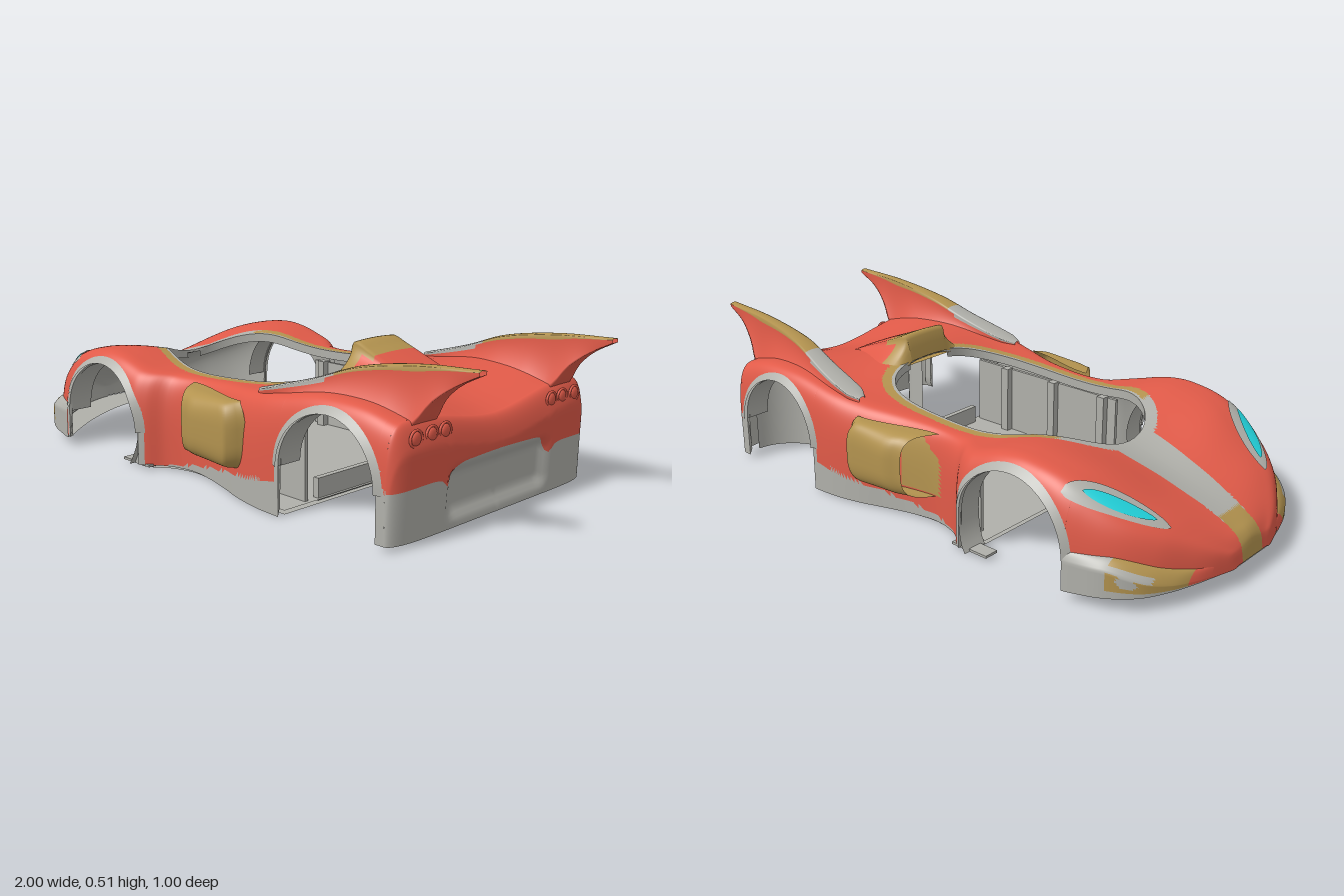
import * as THREE from 'three';

const paint = (name, color) => Object.assign(new THREE.MeshStandardMaterial({ color, side: THREE.DoubleSide }), { name });
// Smooth interpolation through a short list of [x, value] points
const curve = (pts) => (x) => {
  const n = pts.length - 1;
  if (x <= pts[0][0]) return pts[0][1];
  if (x >= pts[n][0]) return pts[n][1];
  const i = pts.findIndex((p) => x <= p[0]) - 1;
  const slope = (k) => {
    const a = pts[Math.max(k - 1, 0)], b = pts[Math.min(k + 1, n)];
    return (b[1] - a[1]) / (b[0] - a[0]);
  };
  const [x0, y0] = pts[i], [x1, y1] = pts[i + 1], h = x1 - x0, t = (x - x0) / h;
  return y0 * (1 + 2 * t) * (1 - t) ** 2 + y1 * t * t * (3 - 2 * t) + h * (slope(i) * t * (1 - t) ** 2 - slope(i + 1) * t * t * (1 - t));
};
const smooth = (t) => { t = Math.min(1, Math.max(0, t)); return t * t * (3 - 2 * t); };
const steps = (a, b, n) => Array.from({ length: n + 1 }, (_, i) => a + (b - a) * i / n);

// Body curves along the length (nose at -x)
const width = curve([[-1, .1], [-.97, .19], [-.93, .265], [-.88, .34], [-.8, .415], [-.7, .463], [-.62, .48], [-.3, .483],
  [-.25, .46], [-.2, .415], [-.1, .385], [0, .395], [.1, .42], [.2, .45], [.3, .468], [.4, .472], [.6, .472], [.8, .463]]);
const bumperWidth = curve([[-.98, .165], [-.96, .235], [-.93, .315], [-.88, .395], [-.8, .45], [-.7, .477], [-.66, .482]]);
const centreTop = curve([[-1, .07], [-.99, .13], [-.95, .165], [-.8, .23], [-.6, .29], [-.5, .315], [-.3, .335],
  [0, .34], [.2, .355], [.33, .39], [.4, .39], [.55, .37], [.7, .335], [.8, .31]]);
const fenderTop = curve([[-1, .07], [-.99, .115], [-.9, .2], [-.8, .262], [-.65, .342], [-.5, .372], [-.4, .365],
  [-.27, .33], [-.15, .32], [0, .325], [.2, .34], [.35, .36], [.5, .384], [.6, .388], [.7, .38], [.8, .355]]);
const arches = [{ x: -.47, y: .13, r: .2 }, { x: .585, y: .16, r: .185 }];
const base = (x) => x < -.5 ? .065 - .09 * (x + 1) : x < .5 ? .02 - .02 * (x + .27) : .02;
const bottom = (x) => {
  const a = arches.find((k) => Math.abs(x - k.x) < k.r);
  return a ? a.y + Math.sqrt(a.r ** 2 - (x - a.x) ** 2) : base(x);
};
// Half width of the cockpit opening, grown by g
const opening = (x, g = 0) => {
  const n = x < -.1 ? 2.3 : 3.5, u = Math.abs(x + .1) / ((x < -.1 ? .45 : .42) + g);
  return u >= 1 ? 0 : (.28 + g) * (1 - u ** n) ** (1 / n);
};
const peak = (x) => Math.max((.66 + .09 * smooth((x + .75) / .2)) * width(x), opening(x) + .03);
const round = (x) => .5 - .1 * smooth((x - .2) / .2);
// Height of the body surface in plan, and its half width at a height
const heightAt = (x, z) => {
  const zp = peak(x), yC = centreTop(x), yF = fenderTop(x), p = round(x);
  if (z < zp) return yC + (yF - yC) * smooth(z / zp);
  return yF * Math.max(0, 1 - ((z - zp) / (width(x) - zp)) ** (2 / p)) ** (p / 2);
};
const sideAt = (x, y) => {
  const p = round(x);
  return peak(x) + (width(x) - peak(x)) * Math.max(0, 1 - (y / fenderTop(x)) ** (2 / p)) ** (p / 2);
};
// Cross-section: from centre (or cockpit edge) over the fender, down to the sill
const section = (x, v) => {
  const z0 = opening(x), zp = peak(x), yF = fenderTop(x), p = round(x);
  if (v < .45) {
    const z = z0 + (zp - z0) * v / .45;
    return [x, heightAt(x, z), z];
  }
  const t = smooth((v - .45) / .55) * Math.acos(Math.min(1, bottom(x) / yF) ** (1 / p));
  return [x, yF * Math.cos(t) ** p, zp + (width(x) - zp) * Math.sin(t) ** p];
};

const RED = 0, GREY = 1, GOLD = 2, CYAN = 3;
const bodyColour = (x, y, z) => {
  if (x < -.91 && z < .055) return GOLD;
  if (x < -.5 && z < .06 + .1 * (x + .9)) return GREY;
  if (z < opening(x, .01)) return GREY;
  if (z < opening(x, .038)) return x > -.45 ? GOLD : GREY;
  // arch trims, rear bumper and sills
  for (const k of arches) {
    const d = y > k.y ? Math.hypot(x - k.x, y - k.y) : Math.abs(x - k.x);
    if (z > .4 && d < k.r + .02) return GREY;
  }
  if (x > .7 && y < .175) return GREY;
  if (x > -.27 && x < .42 && y < .02 + .16 * (x + .2)) return GREY;
  if (x > -.11 && x < .05 && y > .11 && y < .29 - .8 * Math.max(0, -.02 - x) && z > .34) return GOLD;
  return RED;
};

// Sheet over rows us and nv columns; colours are chosen face by face
function sheet(name, mats, us, nv, side, fn, colour) {
  const pos = [], groups = [[], [], [], []], w = nv + 1;
  for (const u of us) for (let j = 0; j <= nv; j++) {
    const p = fn(u, j / nv);
    pos.push(p[0], p[1], p[2] * side);
  }
  for (let i = 0; i < us.length - 1; i++) for (let j = 0; j < nv; j++) {
    const a = i * w + j, b = a + 1, c = a + w, d = c + 1;
    for (const t of [[a, b, c], [b, d, c]]) {
      const mid = (k) => t.reduce((s, q) => s + pos[q * 3 + k], 0) / 3;
      const g = typeof colour === 'number' ? colour : colour(mid(0), mid(1), mid(2) * side, (j + .5) / nv);
      groups[g].push(...(side > 0 ? t : [t[0], t[2], t[1]]));
    }
  }
  const geo = new THREE.BufferGeometry();
  geo.setAttribute('position', new THREE.Float32BufferAttribute(pos, 3));
  geo.setIndex(groups.flat());
  let start = 0;
  groups.forEach((g, i) => { if (g.length) geo.addGroup(start, g.length, i); start += g.length; });
  geo.computeVertexNormals();
  return Object.assign(new THREE.Mesh(geo, mats), { name });
}
// Grey lining just inside a painted sheet, meeting it at the open edges
function lining(outer, nv, mat) {
  const geo = outer.geometry.clone(), p = geo.attributes.position, n = geo.attributes.normal;
  for (let i = 0; i < p.count; i++) {
    const j = i % (nv + 1), x = p.getX(i), d = j === nv || (j === 0 && opening(x) > 0) ? 0 : .01;
    p.setXYZ(i, x - n.getX(i) * d, p.getY(i) - n.getY(i) * d, p.getZ(i) - n.getZ(i) * d);
  }
  geo.clearGroups();
  geo.setIndex(Array.from(geo.index.array).reverse());
  geo.computeVertexNormals();
  return Object.assign(new THREE.Mesh(geo, mat), { name: 'bodyLining' });
}
// Ridge with a flat top and flared sides, used by the fins and the rear scoop
const ridge = (r) => (x, v) => {
  const s = 2 * v - 1, a = Math.abs(s), sg = Math.sign(s), yT = r.top(x), yB = r.low(x), wT = r.wTop(x), wB = r.wLow(x);
  if (a <= .3) return [x, yT - .004 * (a / .3) ** 2, r.z(x) + wT * s / .3];
  if (a > .9) return [x, yB, r.z(x) + sg * wB * (1 - a) / .1];
  const t = (a - .3) / .6;
  return [x, yT - .004 + (yB - yT + .004) * t, r.z(x) + sg * (wT + (wB - wT) * t * t)];
};

export function createModel() {
  const model = Object.assign(new THREE.Group(), { name: 'carBody' });
  const red = paint('red paint', 0xe05a48), grey = paint('grey trim', 0xb0b0aa);
  const mats = [red, grey, paint('gold trim', 0xb3934f), paint('cyan lamp', 0x22d3dc)];
  const add = (name, geo, mat, x, y, z) => {
    const m = Object.assign(new THREE.Mesh(geo, mat), { name });
    m.position.set(x, y, z);
    model.add(m);
  };
  const box = (name, w, h, d, x, y, z) => add(name, new THREE.BoxGeometry(w, h, d), grey, x, y, z);
  // Stations cluster at the nose, the arch edges and the cockpit ends
  const breaks = [-1, -.67, -.55, -.27, .32, .4, .77, .8];
  const stations = [50, 14, 28, 44, 10, 36, 4].flatMap((n, i) => steps(0, 1, n).map((t) =>
    breaks[i] + 1e-5 + (breaks[i + 1] - breaks[i] - 2e-5) * (1 - Math.cos(Math.PI * t)) / 2));
  const fin = {
    top: curve([[.24, .355], [.35, .385], [.45, .415], [.6, .467], [.8, .5], [1, .512]]),
    low: curve([[.24, .33], [.5, .36], [.7, .355], [.8, .33], [.83, .36], [.86, .405], [.92, .455], [1, .498]]),
    wTop: curve([[.24, .012], [.29, .034], [.5, .032], [.7, .023], [1, .015]]),
    wLow: curve([[.24, .02], [.5, .06], [.8, .056], [.86, .035], [.93, .017], [1, .014]]),
    z: curve([[.24, .385], [.4, .365], [.6, .337], [1, .318]]),
  };
  // Lower edge of the red paint across the tail
  const tailLine = curve([[0, .214], [.12, .211], [.19, .205], [.215, .185], [.24, .148], [.27, .17], [.33, .176], [.46, .168]]);

  for (const side of [1, -1]) {
    const nv = 68, skin = sheet('bodySkin', mats, stations, nv, side, section, bodyColour);
    const put = (name, us, n, fn, colour) => model.add(sheet(name, mats, us, n, side, fn, colour));
    model.add(skin, lining(skin, nv, grey));
    // Headlamp and its surround, thin plates on the fender
    const lamp = (name, a0, len, half, bow, lift, colour) => put(name, steps(-1, 1, 24), 6, (s, v) => {
      const a = a0 + len * s, e = Math.max(0, 1 - s * s), b = bow * e + half * e ** .7 * (2 * v - 1);
      const x = -.77 + .79 * a - .61 * b, z = .342 + .61 * a + .79 * b;
      return [x, heightAt(x, z) + lift, z];
    }, colour);
    lamp('headlampSurround', .015, .155, .041, -.006, .004, GREY);
    lamp('headlamp', .005, .105, .021, .004, .008, CYAN);
    // Front bumper ledge with a gold fog-lamp surround
    put('frontBumper', steps(-.975, -.671, 50), 20, (x, v) => {
      const y0 = .1 + .06 * smooth((x + .98) / .2), y1 = y0 - .03, z0 = sideAt(x, y0) - .006, z1 = Math.max(z0, bumperWidth(x));
      return v < .5 ? [x, y0 + (y1 - y0) * 4 * v * v, z0 + (z1 - z0) * 2 * v] : [x, y1 + (base(x) - y1) * (2 * v - 1), z1];
    }, (x, y, z, v) => {
      if (((x + .85) / .025) ** 2 + ((v - .62) / .13) ** 2 < 1 || v > .86 || x > -.8) return GREY;
      return x < -.95 ? RED : v < .36 || v > .5 || x < -.9 ? GOLD : GREY;
    });
    // Tail panel with a recessed bumper centre
    const W = width(.8);
    put('tailPanel', [...steps(0, 1, 20).map((t) => t * t / 2), ...steps(.5, 1, 14).slice(1)], 48, (u, v) => {
      const z = W * Math.sin(v * Math.PI / 2), yT = Math.max(.02, heightAt(.8, z)), yL = Math.min(yT, tailLine(z));
      const y = u < .5 ? yT + (yL - yT) * 2 * u : yL + (.02 - yL) * (2 * u - 1);
      const bulge = Math.sqrt(Math.max(0, 1 - (z / W) ** 8)) * Math.sqrt(Math.min(1, (yT - y) / .08));
      const hollow = smooth((.26 - z) / .06) * smooth((.21 - y) / .04) * smooth((y - .03) / .05);
      return [.8 + .05 * bulge - .022 * hollow - .015 * u * bulge, y, z];
    }, (x, y, z) => y < tailLine(z) ? GREY : RED);
    // Tail lamps
    for (const z of [.255, .312, .378]) {
      add('tailLampRing', new THREE.TorusGeometry(.024, .004, 8, 28).rotateY(Math.PI / 2), red, .834, .31, z * side);
      add('tailLamp', new THREE.SphereGeometry(.02, 16, 10).scale(.4, 1, 1), red, .834, .31, z * side);
    }
    put('fin', steps(.24, 1, 50), 40, ridge(fin),
      (x, y, z, v) => Math.abs(2 * v - 1) < .34 + (x < .5 ? .1 : 0) ? (x < .53 ? GREY : GOLD) : RED);
    // Side air intake, its mouth slanting forward towards the body
    put('sideIntake', steps(0, 1, 16), 30, (u, v) => {
      const t = (v - .5) * Math.PI, s = Math.sin(t), c = Math.max(0, Math.cos(t)) ** .5;
      const outer = .48 + .018 * smooth(u * 4) - .05 * smooth((u - .85) / .15), inner = .37 + .065 * smooth(u);
      const front = -.03 - .065 * (1 - c), back = .235 - .03 * s * s;
      return [front + (back - front) * u, .208 - .105 * Math.sign(s) * Math.abs(s) ** .6, inner + (outer - inner) * c];
    }, GOLD);
    // Wheel-arch returns and raised trims
    arches.forEach((k, i) => {
      const at = (a, r) => [k.x + Math.cos(a) * r, k.y + Math.sin(a) * r];
      put('archReturn', steps(i ? 0 : -.6, Math.PI, 32), 4, (a, v) => {
        const [x, y] = at(a, k.r * .999);
        return [x, y, sideAt(x, y) - .09 * v];
      }, GREY);
      put('archTrim', steps(0, Math.PI, 32), 2, (a, v) => {
        const [x, y] = at(a, k.r + .022 * v);
        return [x, y, sideAt(x, y) + .001 + .01 * (1 - v)];
      }, GREY);
    });
    // Heel and foot closing the lower back of the front arch
    put('archHeel', steps(-.58, 0, 10), 2, (a, v) => {
      const x = arches[0].x + Math.cos(a) * arches[0].r;
      return [x + (-.268 - x) * v, arches[0].y + Math.sin(a) * arches[0].r, .462];
    }, GREY);
    box('archFoot', .14, .008, .05, -.3, .02, side * .435);
    // Chin underside
    put('chin', steps(-.998, -.675, 24), 8, (x, v) => {
      const w = x < -.975 ? width(x) : Math.max(width(x), bumperWidth(x)), inner = x < -.88 ? 0 : w * Math.sqrt((x + .88) / .22);
      return [x, base(x), inner + (w - inner) * v];
    }, GREY);
    // Cockpit rim, cabin sides, posts, floor half and rear wheel-well panels
    put('cockpitRim', steps(0, 1, 60).map((t) => -.1 - .449 * Math.cos(Math.PI * t) * (t < .5 ? 1 : .93)), 2,
      (x, v) => [x, section(x, 0)[1] - .03 * v, opening(x)], GREY);
    box('cabinSide', .64, .24, .012, .07, .14, side * .345);
    for (const x of [-.2, .02, .24]) box('cabinPost', .03, .25, .03, x, .14, side * .33);
    for (const y of [.022, .01]) put('floor', steps(-.3, .405, 20), 2, (x, v) => [x, y, Math.min(.45, width(x) - .008) * v], GREY);
    put('wheelWellPanel', steps(0, 1, 12), 2,
      (u, v) => [.61 + .18 * Math.sin(u * Math.PI / 2), .02 + .31 * v, .25 + .16 * (1 - Math.cos(u * Math.PI / 2))], GREY);
  }
  // Rear scoop flaring into the deck
  const scoop = {
    top: curve([[.315, .385], [.33, .455], [.345, .47], [.4, .45], [.47, .422], [.55, .39], [.64, .35]]),
    low: curve([[.315, .37], [.4, .37], [.55, .35], [.64, .32]]),
    wTop: curve([[.315, .085], [.35, .09], [.64, .1]]),
    wLow: curve([[.315, .15], [.4, .19], [.64, .2]]),
    z: () => 0,
  };
  model.add(sheet('rearScoop', mats, steps(.315, .64, 40), 40, 1, ridge(scoop),
    (x, y, z, v) => x < .38 || (x < .43 && Math.abs(2 * v - 1) < .45) ? GOLD : RED));
  box('crossMember', .02, .07, .6, .385, .05, 0);
  return model;
}
